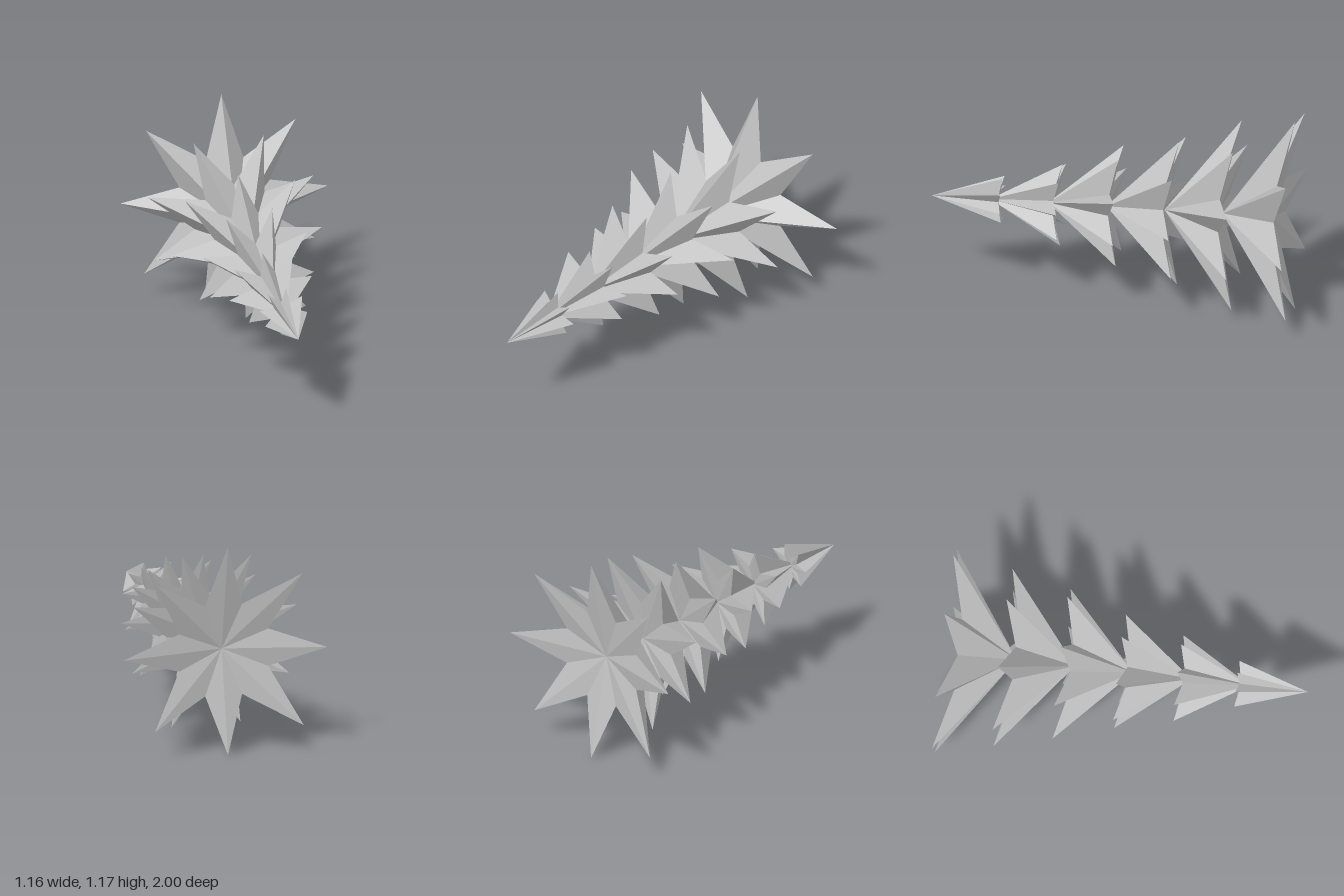
import * as THREE from 'three';

const AXIS_X = -0.015, AXIS_Y = 0.57;
const SPIN = THREE.MathUtils.degToRad(25.7); // twist between neighbouring tiers
const POINTS = 8;

// Uneven tip radii of each tier, from the wide base to the narrow top
const TIERS = [
  [0.595, 0.587, 0.6, 0.598, 0.565, 0.61, 0.57, 0.587],
  [0.494, 0.508, 0.517, 0.512, 0.488, 0.493, 0.526, 0.482],
  [0.428, 0.437, 0.408, 0.438, 0.42, 0.42, 0.438, 0.406],
  [0.317, 0.343, 0.34, 0.32, 0.32, 0.32, 0.326, 0.318],
  [0.235, 0.23, 0.221, 0.247, 0.24, 0.23, 0.24, 0.23],
  [0.135, 0.14, 0.133, 0.137, 0.13, 0.135, 0.128, 0.135],
];

// Star-shaped cone pointing to +z with a hollowed underside
function starCone(radii, tipZ, apexZ, turn) {
  const mean = radii.reduce((a, b) => a + b) / radii.length;
  const lift = 0.155 * mean - 0.005; // notches sit forward of the tips
  const rim = [];
  for (let i = 0; i < POINTS * 2; i++) {
    const a = turn + (i * Math.PI) / POINTS;
    const notch = i % 2 === 1;
    const r = notch ? mean * 0.465 : radii[i / 2];
    rim.push([r * Math.cos(a), r * Math.sin(a), notch ? tipZ + lift : tipZ]);
  }
  const apex = [0, 0, apexZ], hollow = [0, 0, tipZ + lift * 1.45];
  const pos = [];
  rim.forEach((p, i) => {
    const q = rim[(i + 1) % rim.length];
    pos.push(...apex, ...p, ...q, ...hollow, ...q, ...p);
  });
  const g = new THREE.BufferGeometry();
  g.setAttribute('position', new THREE.Float32BufferAttribute(pos, 3));
  g.computeVertexNormals(); // unshared corners give flat facets
  return g;
}

export function createModel() {
  const group = new THREE.Group();
  group.name = 'layeredTree';
  const grey = new THREE.MeshStandardMaterial({ color: 0xc0c0c0 });
  grey.name = 'light grey';

  // Six spiky tiers stacked along the axis
  TIERS.forEach((radii, i) => {
    const tipZ = -1 + i * 0.322;
    const apexZ = -0.6 + i * 0.32;
    // whole-point turns are dropped so the radii keep their order
    const turn = (i * SPIN) % (Math.PI / 4);
    const tier = new THREE.Mesh(starCone(radii, tipZ, apexZ, turn), grey);
    tier.name = `branchTier${i + 1}`;
    tier.position.set(AXIS_X, AXIS_Y, 0);
    group.add(tier);
  });
  return group;
}
